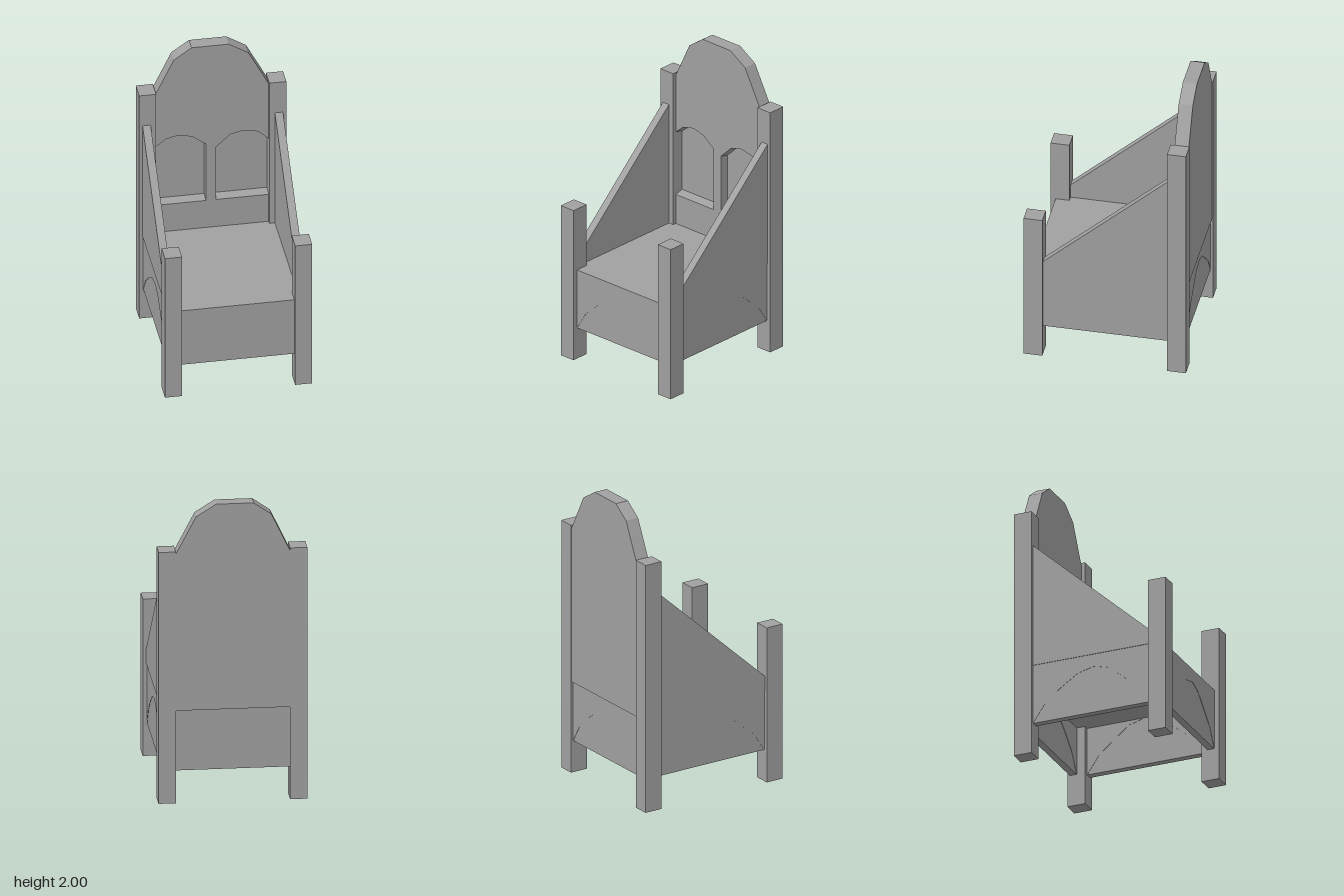
import * as THREE from 'three';

export function createModel() {
  const model = new THREE.Group();
  const stone = new THREE.MeshStandardMaterial({ color: 0xa0a0a0 });
  stone.name = 'plain grey';

  const add = (name, geometry) => {
    const mesh = new THREE.Mesh(geometry, stone);
    mesh.name = name;
    model.add(mesh);
    return mesh;
  };
  const box = (name, x0, x1, y0, y1, z0, z1) => {
    const g = new THREE.BoxGeometry(x1 - x0, y1 - y0, z1 - z0);
    add(name, g.translate((x0 + x1) / 2, (y0 + y1) / 2, (z0 + z1) / 2));
  };
  const shapeOf = (pts) => new THREE.Shape(pts.map((p) => new THREE.Vector2(...p)));
  const extrude = (shape, depth) =>
    new THREE.ExtrudeGeometry(shape, { depth, bevelEnabled: false });

  // Four square posts, the back pair taller
  for (const s of [-1, 1]) {
    const side = s > 0 ? 'left' : 'right';
    const [a, b] = s > 0 ? [0.365, 0.475] : [-0.475, -0.365];
    box(side + 'FrontPost', a, b, 0, 1.055, 0.405, 0.527);
    box(side + 'BackPost', a, b, 0, 1.69, -0.527, -0.405);
  }

  // Seat slab
  box('seat', -0.449, 0.449, 0.54, 0.625, -0.512, 0.494);

  // Skirt: arched panels closed by a slightly recessed infill
  const low = 0.215;
  const arch = (half) => [
    [-1, low], [-0.8, 0.335], [-0.52, 0.43], [-0.23, 0.508], [0.05, 0.535],
    [0.28, 0.51], [0.53, 0.43], [0.8, 0.337], [1, low],
  ].map(([t, y]) => [t * half, y]);
  const skirt = (name, half, reach, face, turn) => {
    const curve = arch(half);
    const panel = extrude(shapeOf([[-reach, low], ...curve, [reach, low], [reach, 0.54], [-reach, 0.54]]), 0.05);
    const infill = extrude(shapeOf(curve), 0.046).translate(0, 0, 0.002);
    for (const [part, g] of [['Panel', panel], ['Infill', infill]]) {
      add(name + part, g.translate(0, 0, face - 0.05).rotateY(turn));
    }
  };
  skirt('frontSkirt', 0.365, 0.42, 0.494, 0);
  skirt('backSkirt', 0.365, 0.42, 0.512, Math.PI);
  skirt('leftSkirt', 0.405, 0.45, 0.449, Math.PI / 2);
  skirt('rightSkirt', 0.405, 0.45, 0.449, -Math.PI / 2);

  // Sloping side wings, drawn in (-z, y) and turned to face sideways
  const wing = shapeOf([[-0.41, 0.62], [0.41, 0.62], [0.41, 1.465], [-0.41, 0.715]]);
  for (const s of [-1, 1]) {
    const g = extrude(wing, 0.052).rotateY(Math.PI / 2);
    add(s > 0 ? 'leftWing' : 'rightWing', g.translate(s > 0 ? 0.401 : -0.453, 0, 0));
  }

  // Tall back with a faceted crown
  const outline = [
    [-0.4, 0.62], [0.4, 0.62], [0.4, 1.6], [0.366, 1.6], [0.366, 1.67], [0.235, 1.92],
    [0.107, 2], [-0.133, 2], [-0.247, 1.92], [-0.366, 1.67], [-0.366, 1.6], [-0.4, 1.6],
  ];
  add('backPlate', extrude(shapeOf(outline), 0.032).translate(0, 0, -0.522));

  // Two blind arched niches in the front layer of the back
  const niches = [
    [[-0.367, 0.83], [-0.04, 0.83], [-0.04, 1.258], [-0.128, 1.325], [-0.215, 1.345], [-0.3, 1.325], [-0.367, 1.27]],
    [[0.025, 0.83], [0.367, 0.83], [0.367, 1.25], [0.3, 1.315], [0.205, 1.335], [0.115, 1.313], [0.025, 1.227]],
  ];
  const facing = shapeOf(outline);
  niches.forEach((n) => facing.holes.push(new THREE.Path(n.map((p) => new THREE.Vector2(...p)))));
  const layer = extrude(facing, 0.06);
  // Niches narrow in height toward their backs
  const pos = layer.attributes.position;
  for (let i = 0; i < pos.count; i++) {
    const y = pos.getY(i);
    if (pos.getZ(i) < 0.01 && y > 0.8 && y < 1.4) pos.setY(i, y + (y < 1 ? 0.015 : -0.015));
  }
  layer.computeVertexNormals();
  add('backFacing', layer.translate(0, 0, -0.49));

  return model;
}
